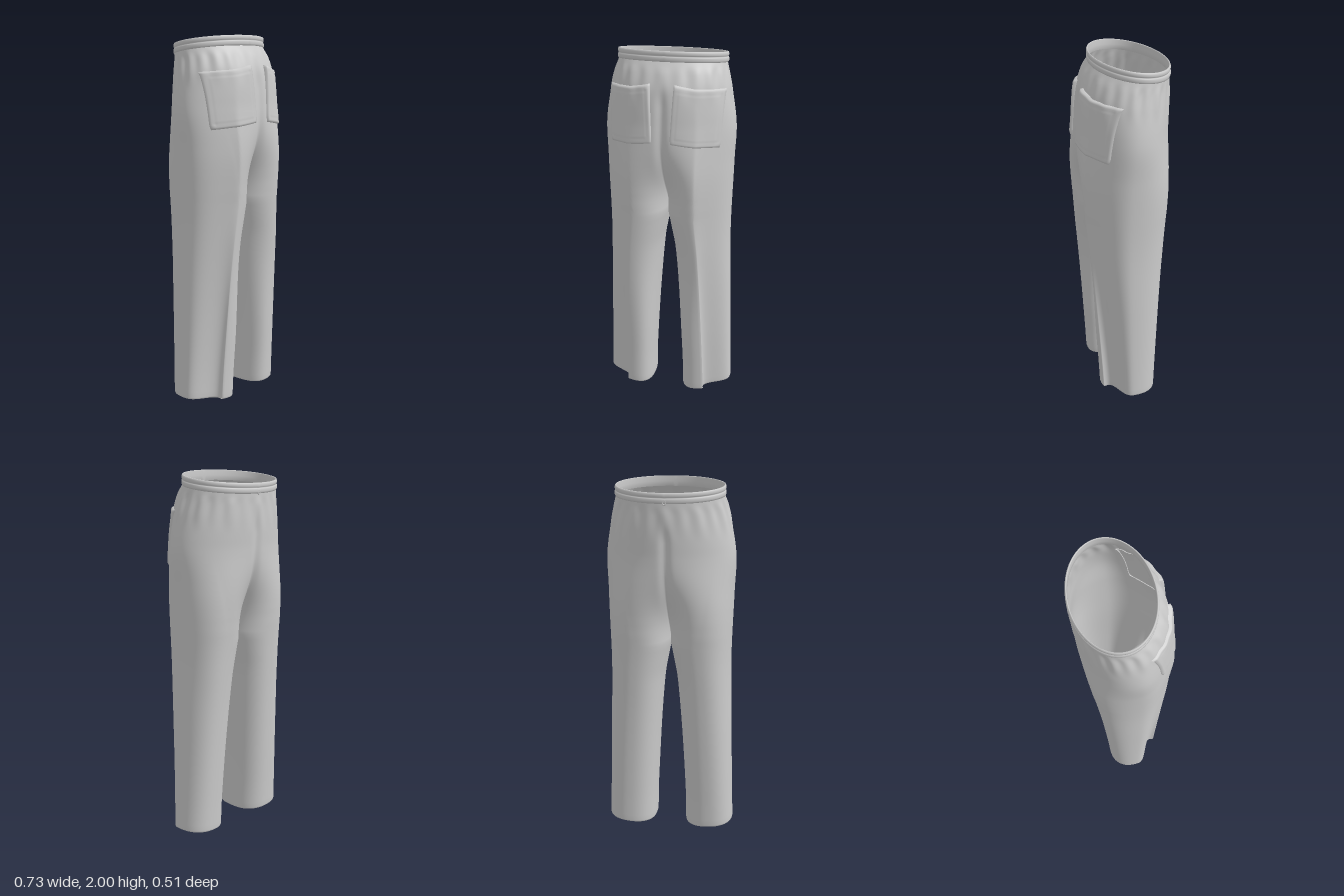
import * as THREE from 'three';
import { mergeVertices } from 'three/addons/utils/BufferGeometryUtils.js';

const CROTCH = 1.11, RISE = 1.66, TOP = 1.95;
const material = new THREE.MeshStandardMaterial({ color: 0xcccccc, side: THREE.DoubleSide });
const { smoothstep, lerp } = THREE.MathUtils;
const spow = (v, e) => Math.sign(v) * Math.abs(v) ** e;

// smooth interpolation through [height, value] pairs, ordered upwards
function track(keys) {
  const slope = (i) => {
    const a = keys[Math.max(i - 1, 0)], b = keys[Math.min(i + 1, keys.length - 1)];
    return (b[1] - a[1]) / (b[0] - a[0]);
  };
  return (y) => {
    let i = 0;
    while (i < keys.length - 2 && y > keys[i + 1][0]) i++;
    const [y0, v0] = keys[i], [y1, v1] = keys[i + 1], h = y1 - y0;
    const s = Math.min(Math.max((y - y0) / h, 0), 1), s2 = s * s, s3 = s2 * s;
    return v0 * (2 * s3 - 3 * s2 + 1) + v1 * (3 * s2 - 2 * s3)
      + slope(i) * h * (s3 - 2 * s2 + s) + slope(i + 1) * h * (s3 - s2);
  };
}
const outerX = track([[0, 0.367], [0.2, 0.359], [0.6, 0.347], [1, 0.338], [1.4, 0.348], [1.6, 0.354], [1.8, 0.325], [1.9, 0.302], [1.95, 0.29]]);
const innerX = track([[0, 0.09], [0.2, 0.087], [0.6, 0.066], [0.9, 0.04], [1.02, 0.018], [CROTCH, 0]]);
const frontZ = track([[0, 0.155], [0.2, 0.165], [0.6, 0.19], [1, 0.217], [1.2, 0.23], [1.4, 0.24], [1.6, 0.238], [1.8, 0.218], [1.89, 0.187], [1.95, 0.152]]);
const backZ = track([[0, -0.143], [0.2, -0.152], [0.6, -0.174], [1, -0.2], [1.2, -0.218], [1.4, -0.235], [1.6, -0.248], [1.8, -0.255], [1.95, -0.253]]);
// how strongly the front outer corner of the section is rounded away
const frontCut = track([[0, 0.16], [0.5, 0.13], [1, 0.1], [1.5, 0.085], [1.7, 0.05], [1.88, 0], [1.95, 0]]);

// how far the section has turned from half a torso (0) into a closed leg (1)
function legness(y) {
  const u = Math.min(Math.max((RISE - y) / (RISE - CROTCH), 0), 1);
  return 1 - (1 - u * u) ** 1.2;
}
const depthAt = (w, t) => (1 - w) * Math.cos(Math.PI * t) + w * spow(Math.sin(2 * Math.PI * t), 0.85);

// point on the left half: t runs from the front centre around the outside to the back centre
function cloth(y, t, inset = 0) {
  const w = legness(y), X = outerX(y) - inset, I = y < CROTCH ? innerX(y) + inset : 0;
  const zf = frontZ(y) - inset, zb = backZ(y) + inset, zc = (zf + zb) / 2, rz = (zf - zb) / 2;
  let peak = 0;
  for (let k = 0; k <= 40; k++) peak = Math.max(peak, Math.abs(depthAt(w, k / 40)));
  const cx = (X + I) / 2, rx = (X - I) / 2;
  const torsoX = X * Math.max(0, Math.sin(Math.PI * t));
  const legX = cx - rx * spow(Math.cos(2 * Math.PI * t), 0.85);
  let x = lerp(torsoX, legX, w), z = zc + rz * depthAt(w, t) / peak;
  // front corners: rounded on the outside, squarer on the inside of the legs
  const sx = (x - cx) / rx, sz = Math.max(0, (z - zc) / rz);
  const outer = frontCut(y) * Math.max(0, sx) * sz * sz;
  const inner = 0.035 * Math.max(0, -sx) * sz * sz * (1 - smoothstep(y, 0.3, 0.9));
  x -= outer + inner * 0.6;
  z += inner - outer * 0.4;
  // gathers below the waist and long soft folds down the legs
  const gather = smoothstep(y, 1.72, 1.88) * (1 - smoothstep(y, 1.89, 1.94));
  const ripple = 1 + gather * (0.012 * Math.cos(22 * Math.PI * t) + 0.008 * Math.cos(10 * Math.PI * t + 3 * y));
  x *= ripple;
  z = zc + (z - zc) * ripple;
  const fold = 0.015 * (1 - smoothstep(y, 0.7, 1.1)) * Math.sin(4 * Math.PI * t + 2.5 * y);
  x += (x - cx) * fold;
  z += (z - zc) * fold;
  // groove along the centre seam
  const groove = smoothstep(y, 1.25, 1.5) * (1 - smoothstep(y, 1.72, 1.9));
  z -= Math.sign(z - zc) * 0.013 * groove * Math.exp(-((x / 0.024) ** 2));
  // waist slopes down to the back, hem rises to the outside
  const tilt = -0.135 * (0.15 - Math.min(z, 0.15)) * smoothstep(y, 1.45, 1.93);
  const hem = (0.004 + 0.08 * Math.max(0, Math.abs(x) - 0.09)) * (1 - smoothstep(y, 0, 0.4));
  return new THREE.Vector3(x, y + tilt + hem, z);
}

// cloth point pushed outwards by a distance
function offsetCloth(y, t, d) {
  const p = cloth(y, t), a = cloth(y, Math.max(t - 0.01, 0)), b = cloth(y, Math.min(t + 0.01, 1));
  const n = new THREE.Vector3(a.z - b.z, 0, b.x - a.x).normalize();
  return p.addScaledVector(n, d);
}

// grid of points doubled by mirroring across x = 0
function mirroredSheet(name, rows, cols, point, flip = false) {
  const pos = [], index = [];
  for (const side of [1, -1]) {
    const base = pos.length / 3;
    for (let i = 0; i <= rows; i++) for (let j = 0; j <= cols; j++) {
      const p = point(i, j);
      pos.push(Math.abs(p.x) < 1e-5 ? 0 : p.x * side, p.y, p.z);
    }
    for (let i = 0; i < rows; i++) for (let j = 0; j < cols; j++) {
      const a = base + i * (cols + 1) + j, b = a + 1, c = a + cols + 1, d = c + 1;
      if ((side < 0) !== flip) index.push(a, b, c, b, d, c);
      else index.push(a, c, b, b, c, d);
    }
  }
  let g = new THREE.BufferGeometry();
  g.setAttribute('position', new THREE.Float32BufferAttribute(pos, 3));
  g.setIndex(index);
  g = mergeVertices(g, 1e-5);
  g.computeVertexNormals();
  const mesh = new THREE.Mesh(g, material);
  mesh.name = name;
  return mesh;
}

// parameter t on the front where the cloth reaches a given x
function findT(x, y) {
  let lo = 0, hi = 0.5;
  for (let k = 0; k < 24; k++) {
    const m = (lo + hi) / 2;
    if (cloth(y, m).x < x) lo = m; else hi = m;
  }
  return lo;
}

export function createModel() {
  const group = new THREE.Group();

  // torso and both legs, ending in a small turned-in hem
  const levels = [];
  for (let k = 0; k < 18; k++) levels.push([lerp(TOP, RISE, k / 18), 0]);
  for (let k = 0; k < 26; k++) levels.push([lerp(RISE, CROTCH, k / 26), 0]);
  for (let k = 0; k <= 34; k++) levels.push([lerp(CROTCH, 0.01, k / 34), 0]);
  levels.push([0.002, 0.002], [0, 0.005], [0.006, 0.007]);
  group.add(mirroredSheet('trouserBody', levels.length - 1, 112,
    (i, j) => cloth(levels[i][0], j / 112, levels[i][1])));

  // waistband with two padded rolls: [outward, up]
  const roll = [[-0.003, -0.006], [0.004, -0.004], [0.007, 0.004], [0.007, 0.016], [0.004, 0.022], [0.001, 0.024],
    [0.004, 0.027], [0.006, 0.033], [0.006, 0.042], [0.003, 0.049], [-0.001, 0.05], [-0.003, 0.046], [-0.003, 0.02], [-0.003, -0.006]];
  group.add(mirroredSheet('waistband', roll.length - 1, 60, (i, j) => {
    const p = offsetCloth(TOP, j / 60, roll[i][0]);
    if (j === 0 || j === 60) p.x = 0;
    p.y += roll[i][1];
    return p;
  }, true));

  // patch pockets on the front
  const N = 30;
  group.add(mirroredSheet('frontPockets', N, N, (i, j) => {
    const rim = (k) => Math.min(k, N - k);
    const edge = Math.min(rim(i), rim(j));
    const spread = (k) => (k === 0 ? 0 : k === N ? 1 : (k - 0.7) / (N - 1.4));
    let u = spread(j);
    const v = spread(i);
    // round the lower corners
    const c = Math.max(0, v - 0.88) / 0.12;
    u = 0.5 + (u - 0.5) * (1 - 0.05 * c * c);
    const y = lerp(lerp(1.845, 1.818, u) - 0.012 * Math.sin(Math.PI * u), lerp(1.54, 1.507, u), v);
    const x = lerp(lerp(0.062, 0.304, u), lerp(0.046, 0.292, u), v);
    const lift = edge === 0 ? -0.004 : edge === 1 ? 0.008 : edge === 3 ? 0.009 : 0.011;
    return offsetCloth(y, findT(x, y), lift + (edge > 0 ? 0.008 * (1 - v) ** 2 * (1 - u) : 0));
  }));

  // small loop at the back of the waistband
  const loop = new THREE.Mesh(new THREE.TorusGeometry(0.008, 0.0025, 8, 20), material);
  loop.scale.y = 1.5;
  loop.position.set(0, 1.897, -0.258);
  loop.name = 'backLoop';
  group.add(loop);

  return group;
}
